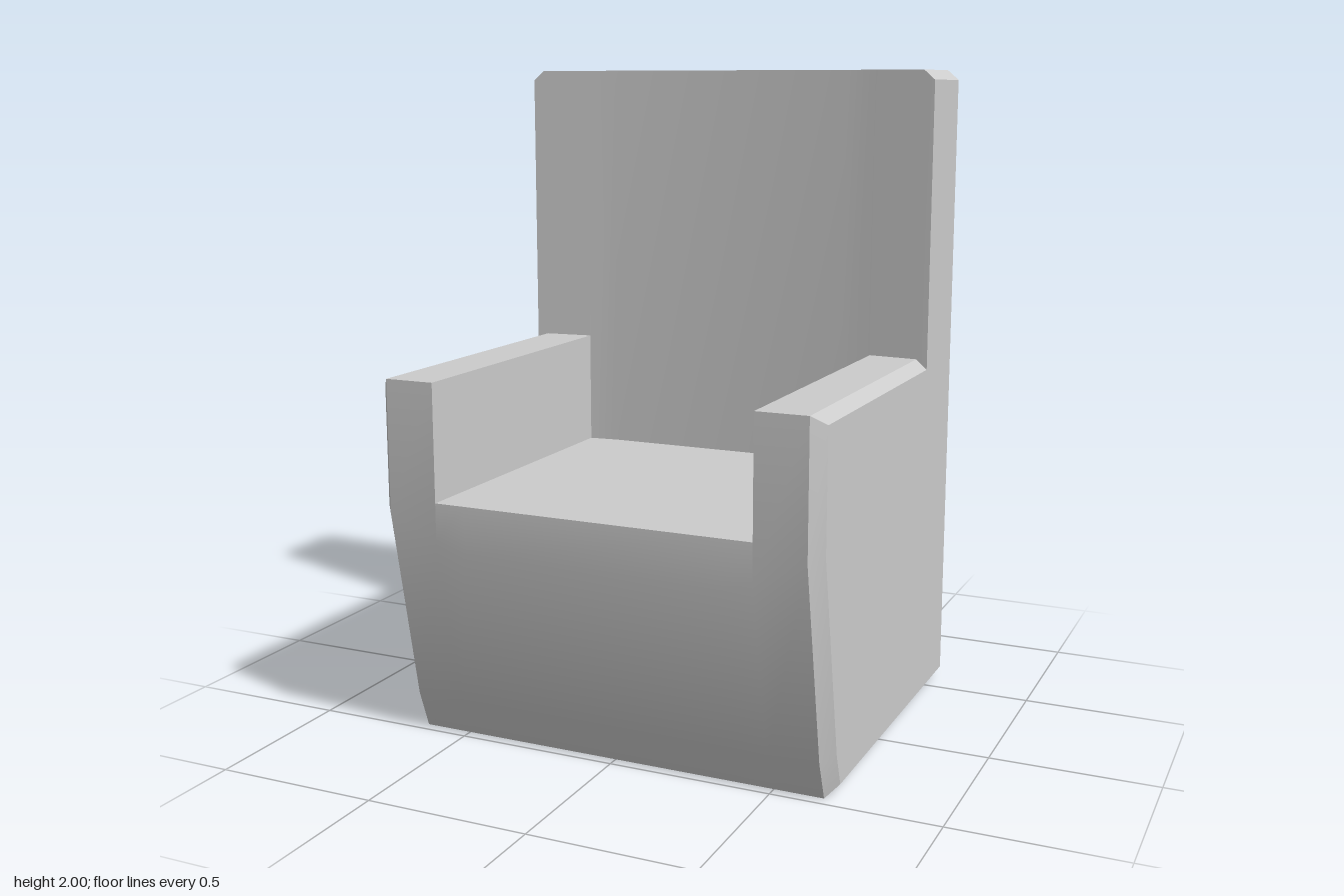
import * as THREE from 'three';
import { toCreasedNormals } from 'three/addons/utils/BufferGeometryUtils.js';

// Side profile at one x: up the front, over the arm or seat, up the backrest, down the back
function section(x, bendY, topY, backrestZ) {
  return [
    [0.465, 0], [0.51, 0.12], [0.63, bendY], [0.63, topY], [backrestZ, topY],
    [backrestZ, 2], [-0.6, 2], [-0.63, 1.97], [-0.63, 0.035], [-0.6, 0],
  ].map(([z, y]) => new THREE.Vector3(x, y, z));
}

// Inset profile that forms the bevelled outer side
function sideSection(x) {
  return [
    [0.43, 0.035], [0.465, 0.13], [0.585, 0.73], [0.585, 1.09], [-0.33, 1.09],
    [-0.33, 1.97], [-0.6, 1.97], [-0.6, 1.97], [-0.6, 0.035], [-0.6, 0.035],
  ].map(([z, y]) => new THREE.Vector3(x, y, z));
}

// Skin a row of closed sections and cap both ends
function loft(rings) {
  const positions = [];
  const tri = (a, b, c) => {
    const area = new THREE.Triangle(a, b, c).getArea();
    if (area > 1e-7) for (const p of [a, b, c]) positions.push(p.x, p.y, p.z);
  };
  const n = rings[0].length;
  for (let i = 0; i < rings.length - 1; i++) {
    for (let j = 0; j < n; j++) {
      const k = (j + 1) % n;
      tri(rings[i][j], rings[i + 1][j], rings[i + 1][k]);
      tri(rings[i][j], rings[i + 1][k], rings[i][k]);
    }
  }
  // Fan each cap from the inner corner between arm and backrest
  const left = rings[rings.length - 1], right = rings[0], hub = 4;
  for (let s = 1; s < n - 1; s++) {
    const a = (hub + s) % n, b = (hub + s + 1) % n;
    tri(left[hub], left[b], left[a]);
    tri(right[hub], right[a], right[b]);
  }
  const geometry = new THREE.BufferGeometry();
  geometry.setAttribute('position', new THREE.Float32BufferAttribute(positions, 3));
  return toCreasedNormals(geometry, 0.4);
}

export function createModel() {
  const group = new THREE.Group();
  group.name = 'armchair';

  // Half of the sections, from the middle outwards: seat, arm, bevelled side
  const half = (s) => [
    section(s * 0.4, 0.62, 0.765, -0.358),
    section(s * 0.495, 0.65, 0.765, -0.348),
    section(s * 0.495, 0.65, 1.12, -0.348),
    section(s * 0.65, 0.72, 1.12, -0.333),
    sideSection(s * 0.685),
  ];

  const body = new THREE.Mesh(
    loft([...half(-1).reverse(), ...half(1)]),
    new THREE.MeshStandardMaterial({ color: 0xcccccc })
  );
  body.name = 'upholsteredBody';
  group.add(body);
  return group;
}
